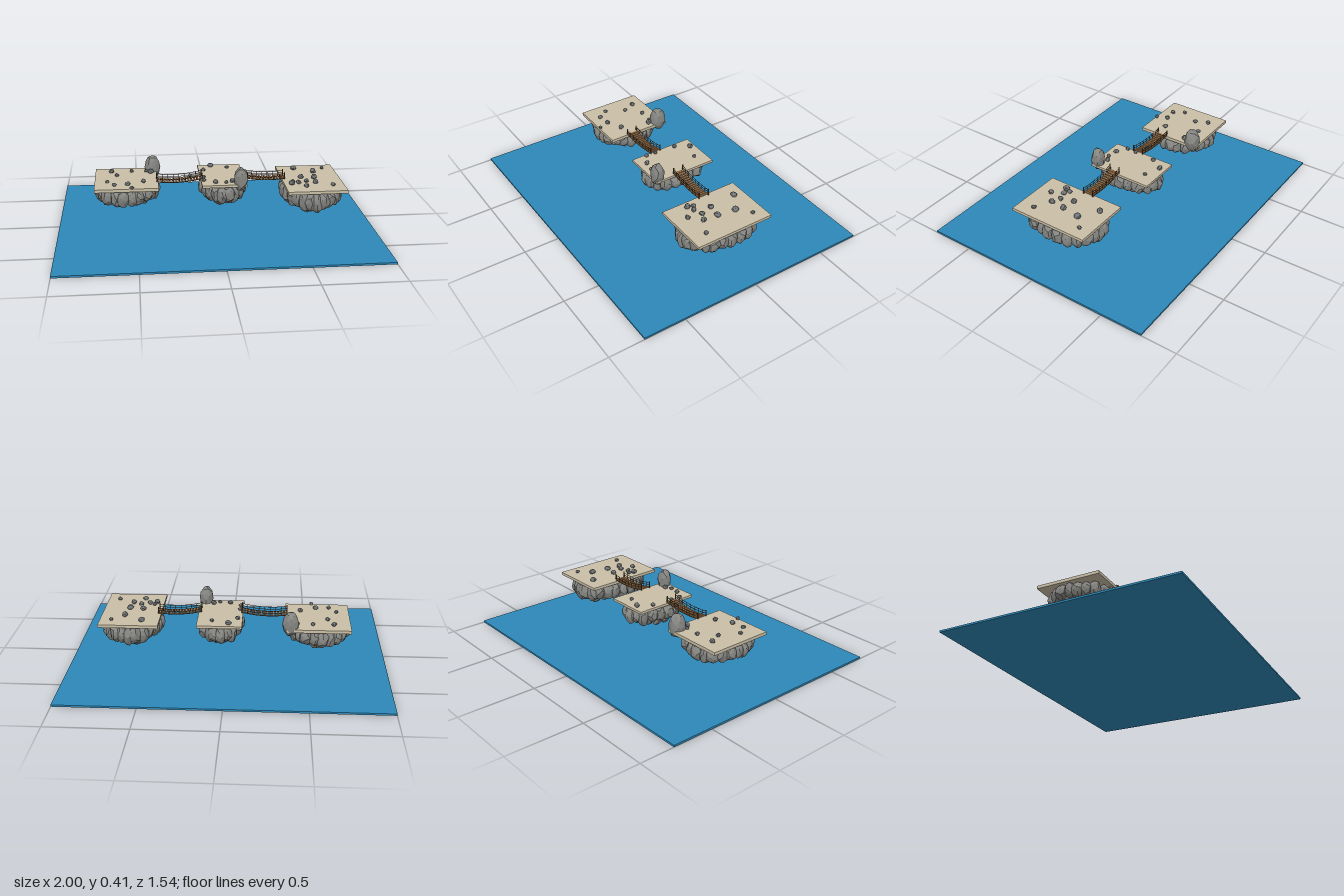
import * as THREE from 'three';

const paint = (name, color, extra = {}) => {
  const m = new THREE.MeshStandardMaterial({ color, ...extra });
  m.name = name;
  return m;
};
const water = paint('sea blue', 0x2e88b8);
const sand = paint('pale sand', 0xcabfa6);
const rock = paint('grey rock', 0x858682, { flatShading: true });
const stone = paint('slate stone', 0x74787a, { flatShading: true });
const wood = paint('plank wood', 0xa3764a);
const rope = paint('dark rope', 0x5c4229);

// Seeded random numbers
let seed = 7;
const rnd = () => {
  seed = (seed * 16807) % 2147483647;
  return seed / 2147483647;
};
const range = (a, b) => a + (b - a) * rnd();

function add(parent, name, geometry, material, x = 0, y = 0, z = 0) {
  const mesh = new THREE.Mesh(geometry, material);
  mesh.name = name;
  mesh.position.set(x, y, z);
  parent.add(mesh);
  return mesh;
}

// Faceted lump: icosphere whose shared corners are pushed in and out together
function lump(rx, ry, rz, rough = 0.16, detail = 1) {
  const g = new THREE.IcosahedronGeometry(1, detail);
  const p = g.attributes.position, v = new THREE.Vector3(), push = {};
  for (let i = 0; i < p.count; i++) {
    v.fromBufferAttribute(p, i);
    const key = [v.x, v.y, v.z].map(n => Math.round(n * 100)).join();
    push[key] ??= range(1 - rough, 1 + rough * 0.4);
    v.multiplyScalar(push[key]);
    p.setXYZ(i, v.x * rx, v.y * ry, v.z * rz);
  }
  g.computeVertexNormals();
  return g;
}

// Sand slab carried by rings of hanging rocks, with pebbles on top
function island({ name, x0, x1, z0, z1, top, thick, bottom, pebbles }) {
  const group = new THREE.Group();
  group.name = name;
  const cx = (x0 + x1) / 2, cz = (z0 + z1) / 2, w = x1 - x0, d = z1 - z0;
  add(group, 'sandSlab', new THREE.BoxGeometry(w, thick, d), sand, cx, top - thick / 2, cz);

  const under = top - thick, depth = under - bottom;
  // ring: fraction of the radius, rock count, how far down it reaches
  const rings = [[1, Math.round((w + d) * 27), 0.8], [0.66, 13, 1], [0.3, 6, 0.97]];
  for (const [f, count, reach] of rings) {
    for (let i = 0; i < count; i++) {
      const a = (i + range(-0.2, 0.2)) / count * Math.PI * 2;
      const r = range(0.036, 0.05) * (f < 1 ? 1.15 : 1);
      const ry = depth * reach * range(0.84, 1.04) / 2 + 0.003;
      const rx = (w / 2 - 0.03) * f, rz = (d / 2 - 0.03) * f;
      const m = add(group, 'hangingRock', lump(r, ry, r), rock,
        cx + rx * Math.cos(a), under - ry + 0.004, cz + rz * Math.sin(a));
      m.rotation.y = range(0, 6);
    }
  }
  for (const [x, z, size = 0.018] of pebbles) {
    const m = add(group, 'pebble', lump(size, size * 0.85, size * 0.85), stone, x, top + size * 0.5, z);
    m.rotation.y = range(0, 6);
  }
  return group;
}

// Sagging plank bridge with rope rails on both sides
function bridge(name, x0, y0, x1, y1) {
  const group = new THREE.Group();
  group.name = name;
  const zc = -0.007, half = 0.034, planks = 15, railH = 0.03;
  const deck = t => new THREE.Vector3(
    x0 + (x1 - x0) * t, y0 + (y1 - y0) * t - 0.014 * 4 * t * (1 - t), zc);
  const slope = Math.atan2(y1 - y0, x1 - x0);
  for (let i = 0; i < planks; i++) {
    const t = (i + 0.5) / planks, p = deck(t);
    const m = add(group, 'plank', new THREE.BoxGeometry(0.0125, 0.005, 0.07), wood, p.x, p.y, p.z);
    m.rotation.z = slope - 0.19 * (1 - 2 * t);
  }
  for (const side of [-1, 1]) {
    const z = side * half;
    for (const lift of [-0.003, railH * 0.5, railH]) {
      const pts = Array.from({ length: 9 }, (_, i) => deck(i / 8).add(new THREE.Vector3(0, lift, z)));
      const path = new THREE.CatmullRomCurve3(pts);
      add(group, 'rope', new THREE.TubeGeometry(path, 20, lift < 0 ? 0.003 : 0.0018, 5), rope);
    }
    for (let i = 1; i < 8; i++) {
      const p = deck(i / 8);
      add(group, 'railHanger', new THREE.CylinderGeometry(0.0018, 0.0018, railH, 5), rope,
        p.x, p.y + railH / 2, zc + z);
    }
    for (const t of [0, 1]) {
      const p = deck(t);
      add(group, 'endPost', new THREE.CylinderGeometry(0.004, 0.004, 0.045, 6), rope,
        p.x, p.y + 0.014, zc + z);
    }
  }
  return group;
}

export function createModel() {
  const model = new THREE.Group();
  model.name = 'floatingIslands';

  add(model, 'sea', new THREE.BoxGeometry(2, 0.012, 1.545), water, 0, 0.006, 0);

  model.add(island({
    name: 'rightIsland', x0: -0.765, x1: -0.362, z0: -0.27, z1: 0.15,
    top: 0.296, thick: 0.02, bottom: 0.14,
    pebbles: [[-0.66, -0.19], [-0.53, -0.19, 0.015], [-0.625, -0.11, 0.016], [-0.455, 0.025],
      [-0.685, 0.013, 0.014], [-0.64, 0.08, 0.016], [-0.555, 0.073], [-0.405, -0.16, 0.021],
      [-0.435, -0.185, 0.013], [-0.53, 0.143, 0.014]],
  }));
  model.add(island({
    name: 'middleIsland', x0: -0.09, x1: 0.193, z0: -0.262, z1: 0.163,
    top: 0.306, thick: 0.016, bottom: 0.145,
    pebbles: [[-0.005, -0.225, 0.02], [0.1, -0.185, 0.014], [-0.06, -0.14, 0.016], [-0.155, -0.03, 0.014],
      [-0.073, 0.068, 0.015], [-0.07, 0.003, 0.014], [-0.002, 0.11], [0.065, 0.12, 0.014], [0.105, 0.1, 0.018]],
  }));
  model.add(island({
    name: 'leftIsland', x0: 0.436, x1: 0.813, z0: -0.24, z1: 0.284,
    top: 0.289, thick: 0.019, bottom: 0.105,
    pebbles: [[0.545, -0.165, 0.021], [0.738, -0.16, 0.014], [0.662, -0.088, 0.023], [0.56, 0.018, 0.02],
      [0.645, 0.03, 0.022], [0.483, 0.135, 0.022], [0.528, 0.12, 0.018], [0.583, 0.1], [0.636, 0.125, 0.02],
      [0.566, 0.19], [0.738, 0.18, 0.016], [0.496, 0.1, 0.016]],
  }));

  // Tall boulders at two slab corners
  add(model, 'boulder', lump(0.055, 0.082, 0.055, 0.12, 1), rock, -0.392, 0.318, -0.226);
  add(model, 'boulder', lump(0.046, 0.086, 0.046, 0.12, 1), rock, 0.157, 0.334, 0.136);

  model.add(bridge('rightBridge', -0.37, 0.299, -0.082, 0.313));
  model.add(bridge('leftBridge', 0.178, 0.313, 0.452, 0.297));
  return model;
}
